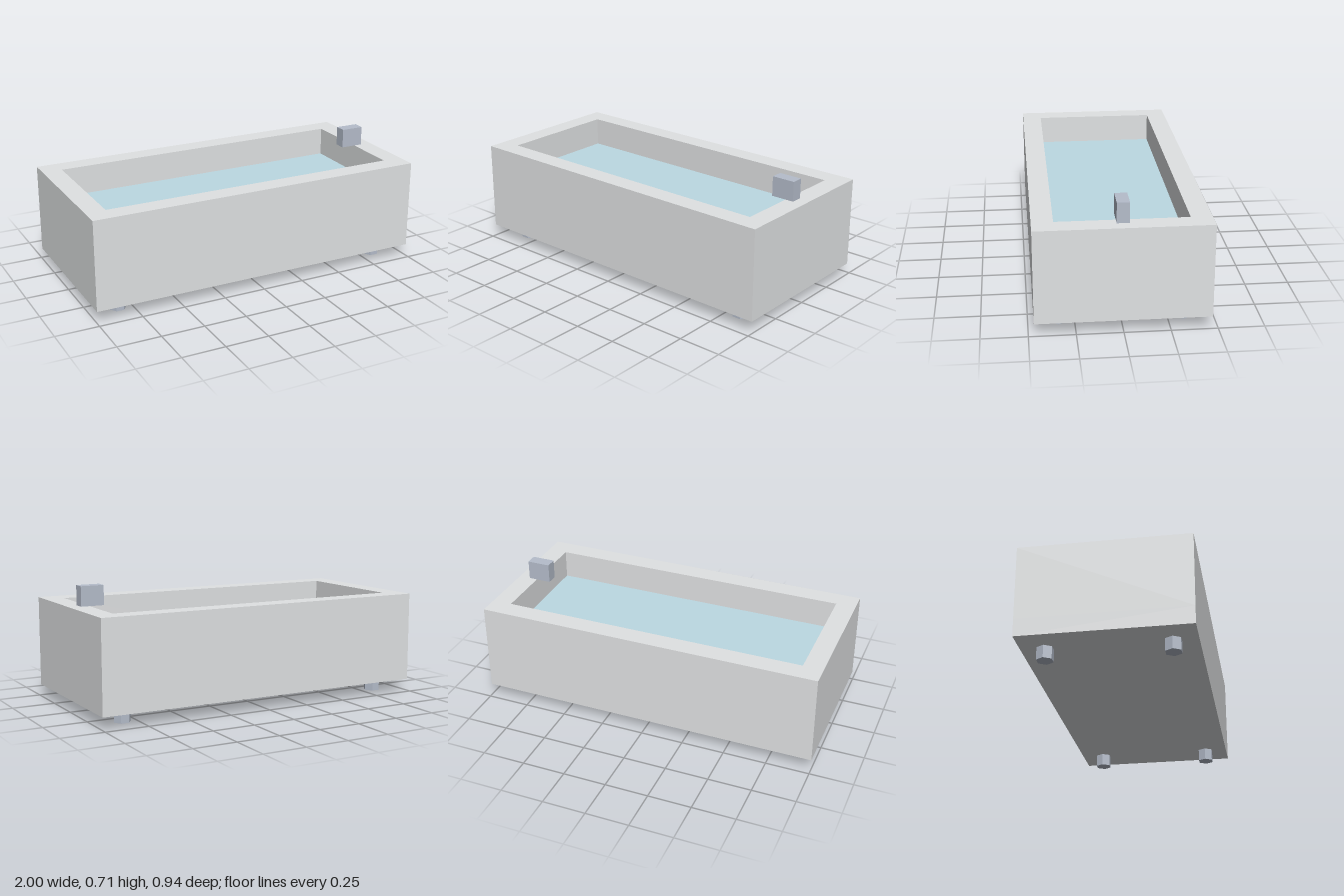
import * as THREE from 'three';

const mat = (name, color) => {
  const m = new THREE.MeshStandardMaterial({ color });
  m.name = name;
  return m;
};

export function createModel() {
  const stone = mat('pale stone grey', 0xe0e2e3);
  const metal = mat('pale blue grey metal', 0xb5bdcb);
  const water = mat('water blue', 0xbcd9e3);
  const group = new THREE.Group();

  const add = (name, geometry, material, x, y, z) => {
    const mesh = new THREE.Mesh(geometry, material);
    mesh.name = name;
    mesh.position.set(x, y, z);
    group.add(mesh);
    return mesh;
  };

  const bottom = 0.071, top = 0.594;
  const innerX = 0.885, innerZ = 0.355;
  const rectangle = (path, x, y) =>
    path.moveTo(-x, -y).lineTo(x, -y).lineTo(x, y).lineTo(-x, y).closePath();

  // Solid floor, with the hollow wall ring standing on it
  const floorHeight = 0.1;
  const floor = new THREE.BoxGeometry(2, floorHeight, 0.94);
  add('tubFloor', floor, stone, 0, bottom + floorHeight / 2, 0);

  const ring = rectangle(new THREE.Shape(), 1, 0.47);
  ring.holes.push(rectangle(new THREE.Path(), innerX, innerZ));
  const walls = new THREE.ExtrudeGeometry(ring, {
    depth: top - bottom - floorHeight, bevelEnabled: false,
  });
  walls.rotateX(-Math.PI / 2);
  add('tubWalls', walls, stone, 0, bottom + floorHeight, 0);

  // Water surface inside the basin
  const surface = new THREE.PlaneGeometry(innerX * 2, innerZ * 2);
  surface.rotateX(-Math.PI / 2);
  add('waterSurface', surface, water, 0, 0.425, 0);

  // Block spout overhanging the rim at one end
  add('spout', new THREE.BoxGeometry(0.135, 0.113, 0.068), metal, 0.866, top + 0.0565, 0);

  // Four hexagonal feet with corners pointing along x
  const foot = new THREE.CylinderGeometry(0.048, 0.048, bottom, 6).toNonIndexed();
  foot.rotateY(Math.PI / 2);
  foot.computeVertexNormals();
  for (const x of [-0.8325, 0.8325])
    for (const z of [-0.337, 0.337]) add('foot', foot, metal, x, bottom / 2, z);

  return group;
}
